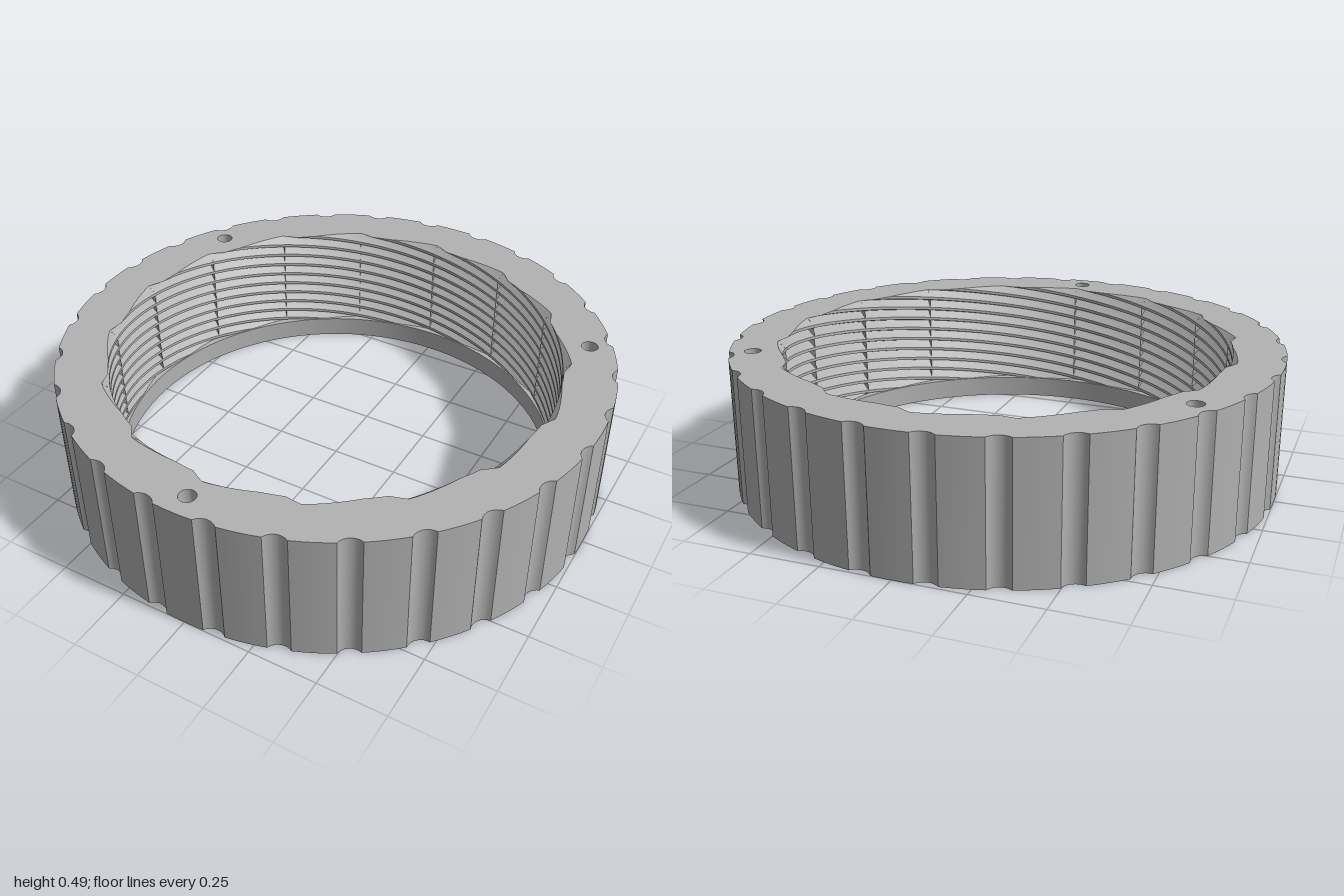
import * as THREE from 'three';
import { toCreasedNormals } from 'three/addons/utils/BufferGeometryUtils.js';

const TAU = Math.PI * 2;
const HEIGHT = 0.49, LIP = 0.08, LIP_R = 0.808;
const GROOVES = 28;                      // grip grooves around the outside
const STARTS = 16, PITCH = 0.045;        // multi-start right-hand thread
const STEPS = 12;                        // angular steps per thread start
const HOLE_R = 0.03, HOLE_DEPTH = 0.15, HOLE_RING = 0.917;
// one thread turn: [phase in twelfths, radius]
const PROFILE = [[0, 0.84], [2, 0.813], [5, 0.813], [11, 0.837], [12, 0.84]];

const polar = (r, a, y = 0) => new THREE.Vector3(r * Math.cos(a), y, -r * Math.sin(a));

function threadRadius(phase) {
  const p = (phase - Math.floor(phase)) * 12;
  for (let i = 1; i < PROFILE.length; i++) {
    const [p0, r0] = PROFILE[i - 1], [p1, r1] = PROFILE[i];
    if (p <= p1) return r0 + (r1 - r0) * (p - p0) / (p1 - p0);
  }
  return PROFILE[0][1];
}

// Skin over columns of points; columns run anticlockwise, points run upward
function skin(columns, inward = false) {
  const pos = [], tri = new THREE.Triangle();
  const add = (a, b, c) => {
    if (tri.set(a, b, c).getArea() < 1e-9) return;
    for (const v of inward ? [a, c, b] : [a, b, c]) pos.push(v.x, v.y, v.z);
  };
  for (let i = 0; i + 1 < columns.length; i++) {
    const A = columns[i], B = columns[i + 1];
    for (let j = 0; j + 1 < A.length; j++) {
      add(A[j], B[j], B[j + 1]);
      add(A[j], B[j + 1], A[j + 1]);
    }
  }
  const geo = new THREE.BufferGeometry();
  geo.setAttribute('position', new THREE.Float32BufferAttribute(pos, 3));
  return toCreasedNormals(geo, 0.36);
}

// Scalloped outer outline
function outline() {
  const pts = [], step = TAU / GROOVES, gr = 0.05, gc = 1.03;
  const half = Math.acos((gc * gc + gr * gr - 1) / (2 * gc * gr));
  const edge = Math.atan2(gr * Math.sin(half), gc - gr * Math.cos(half));
  for (let k = 0; k < GROOVES; k++) {
    const mid = (k + 0.5) * step;
    for (let i = 0; i < 8; i++) {
      const f = -half + 2 * half * i / 8;
      const d = gc - gr * Math.cos(f), t = gr * Math.sin(f);
      pts.push(new THREE.Vector2(Math.hypot(d, t), mid + Math.atan2(t, d)));
    }
    for (let i = 0; i < 4; i++) {
      pts.push(new THREE.Vector2(1, mid + edge + (step - 2 * edge) * i / 4));
    }
  }
  return pts.map((p) => new THREE.Vector2(p.x * Math.cos(p.y), p.x * Math.sin(p.y)));
}

// Internal thread, cut off level at the lip and the top face
function threadGeometry() {
  const columns = [];
  for (let i = 0; i <= STARTS * STEPS; i++) {
    const s = (i % STEPS) / STEPS, a = i / (STARTS * STEPS) * TAU, col = [];
    // the last column of each start is written with s = 1 so that rows join up
    const column = (shift) => {
      const c = [];
      for (let k = -11; k <= 0; k++) {
        for (const [p] of PROFILE.slice(0, -1)) {
          const y = THREE.MathUtils.clamp(HEIGHT + (k + p / 12 + shift) * PITCH, LIP, HEIGHT);
          c.push(polar(threadRadius((y - HEIGHT) / PITCH - s + 1e-7), a, y));
        }
      }
      return c;
    };
    if (s === 0 && i > 0) columns.push(column(1));
    columns.push(column(s));
  }
  return skin(columns, true);
}

export function createModel() {
  const model = new THREE.Group();
  model.name = 'threadedRing';
  const grey = new THREE.MeshStandardMaterial({ color: 0xb2b2b2 });
  grey.name = 'grey';
  const add = (name, geo, parent = model) => {
    const mesh = new THREE.Mesh(geo, grey);
    mesh.name = name;
    parent.add(mesh);
    return mesh;
  };

  // Grooved outer wall
  const rim = outline();
  add('gripWall', skin([...rim, rim[0]].map((p) =>
    [new THREE.Vector3(p.x, 0, -p.y), new THREE.Vector3(p.x, HEIGHT, -p.y)])));

  // Top face, with the thread run-out and three pin holes cut from it
  const top = new THREE.Shape(rim);
  const bore = [];
  for (let i = 0; i < STARTS * STEPS; i++) {
    const a = i / (STARTS * STEPS) * TAU, r = threadRadius(-(i % STEPS) / STEPS + 1e-7);
    bore.push(new THREE.Vector2(r * Math.cos(a), r * Math.sin(a)));
  }
  top.holes.push(new THREE.Path(bore));
  const pins = [30, 150, 270].map((d) => polar(HOLE_RING, THREE.MathUtils.degToRad(d)));
  for (const p of pins) top.holes.push(new THREE.Path().absarc(p.x, -p.z, HOLE_R, 0, TAU, true));
  add('topFace', new THREE.ShapeGeometry(top, 12).rotateX(-Math.PI / 2).translate(0, HEIGHT, 0));

  // Blind pin holes
  const circle = (r, n, y0, y1) => Array.from({ length: n + 1 }, (_, i) =>
    [polar(r, i / n * TAU, y0), polar(r, i / n * TAU, y1)]);
  for (const p of pins) {
    const hole = new THREE.Group();
    hole.name = 'pinHole';
    hole.position.copy(p);
    add('pinHoleWall', skin(circle(HOLE_R, 24, HEIGHT - HOLE_DEPTH, HEIGHT), true), hole);
    add('pinHoleFloor', new THREE.CircleGeometry(HOLE_R, 24).rotateX(-Math.PI / 2)
      .translate(0, HEIGHT - HOLE_DEPTH, 0), hole);
    model.add(hole);
  }

  // Bottom face
  const bottom = new THREE.Shape(rim);
  bottom.holes.push(new THREE.Path().absarc(0, 0, LIP_R, 0, TAU, true));
  add('bottomFace', new THREE.ShapeGeometry(bottom, 48).rotateX(Math.PI / 2));

  // Thread, and the plain lip below it
  add('innerThread', threadGeometry());
  add('lipWall', skin(circle(LIP_R, 96, 0, LIP), true));
  add('lipLedge', new THREE.RingGeometry(LIP_R, 0.845, 96).rotateX(-Math.PI / 2).translate(0, LIP, 0));

  return model;
}
